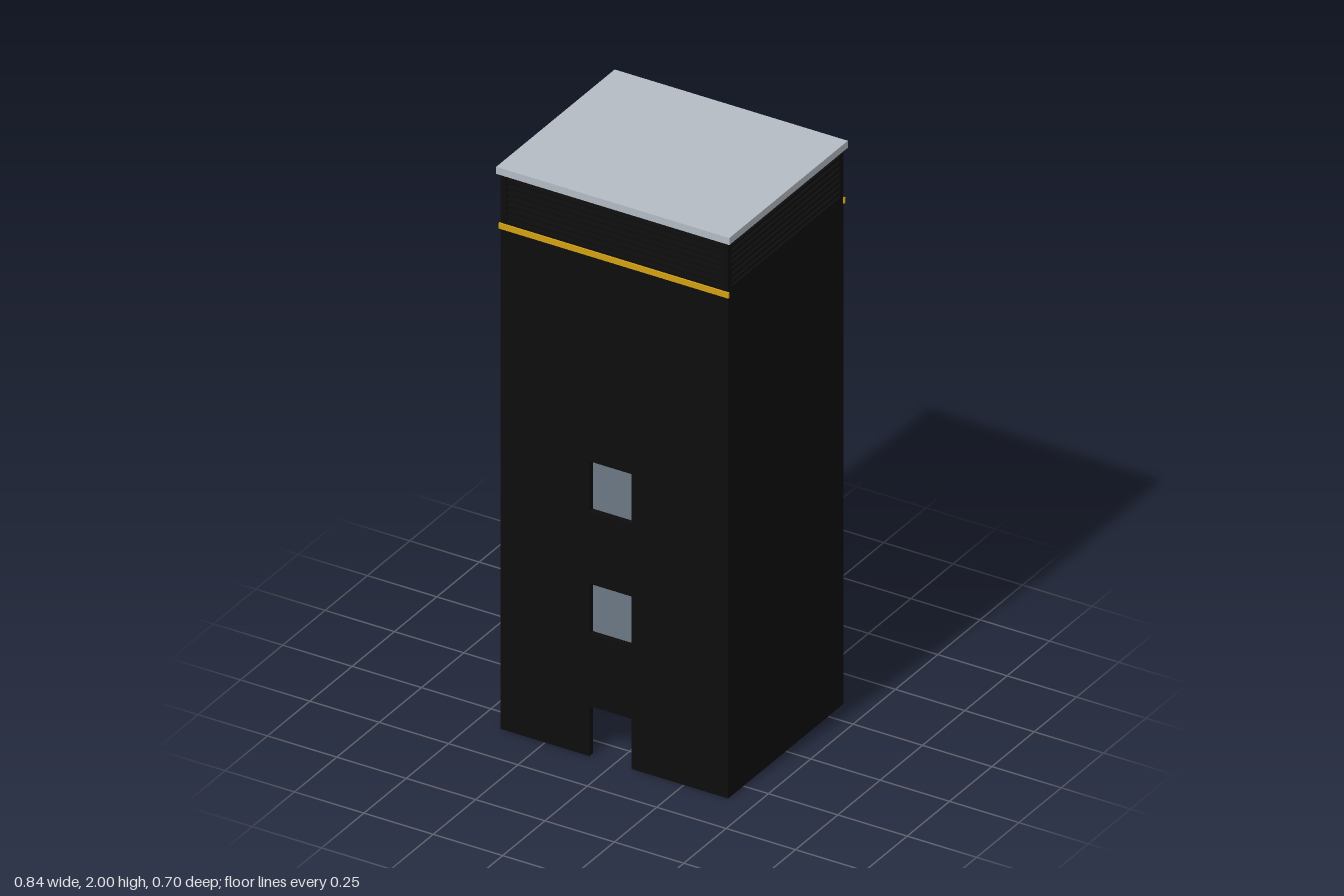
import * as THREE from 'three';

const material = (name, color) => {
  const m = new THREE.MeshStandardMaterial({ color });
  m.name = name;
  return m;
};

export function createModel() {
  const black = material('black cladding', 0x0d0d0d);
  const yellow = material('yellow stripe', 0xd2a013);
  const grey = material('light grey roof', 0xb4bbc3);
  const slate = material('slate floor', 0x606c76);

  const W = 0.82, D = 0.68, T = 0.02; // tower width, depth and wall thickness
  const WALL = 1.81, EAVES = 1.975;   // top of the walls, underside of the roof
  const STOREY = 0.435, DOOR_H = 0.178, DOOR_L = -0.09, DOOR_R = 0.062;

  const model = new THREE.Group();
  model.name = 'tower';
  const add = (name, geometry, mat, x, y, z) => {
    const mesh = new THREE.Mesh(geometry, mat);
    mesh.name = name;
    mesh.position.set(x, y, z);
    model.add(mesh);
  };
  const box = (name, mat, w, h, d, x, y, z) =>
    add(name, new THREE.BoxGeometry(w, h, d), mat, x, y, z);

  // Front wall: a doorway at the ground and one opening on each floor above
  const front = new THREE.Shape([
    [-W / 2, 0], [DOOR_L, 0], [DOOR_L, DOOR_H], [DOOR_R, DOOR_H], [DOOR_R, 0],
    [W / 2, 0], [W / 2, WALL], [-W / 2, WALL],
  ].map(([x, y]) => new THREE.Vector2(x, y)));
  for (const y of [STOREY, 2 * STOREY]) {
    front.holes.push(new THREE.Path([
      [DOOR_L, y], [DOOR_L, y + DOOR_H], [DOOR_R, y + DOOR_H], [DOOR_R, y],
    ].map(([px, py]) => new THREE.Vector2(px, py))));
  }
  add('frontWall', new THREE.ExtrudeGeometry(front, { depth: T, bevelEnabled: false }),
    black, 0, 0, D / 2 - T);

  // Back and side walls, open at the bottom
  box('backWall', black, W, WALL, T, 0, WALL / 2, -D / 2 + T / 2);
  for (const s of [-1, 1]) {
    box('sideWall', black, T, WALL, D - 2 * T, s * (W - T) / 2, WALL / 2, 0);
  }

  // Floors level with the openings, and the deck under the louvres
  for (const y of [STOREY, 2 * STOREY]) {
    box('floor', slate, W - 2 * T, T, D - 2 * T, 0, y - T / 2, 0);
  }
  box('deck', black, W - 2 * T, T, D - 2 * T, 0, WALL - T / 2, 0);

  // Corner posts of the louvred top
  for (const sx of [-1, 1]) for (const sz of [-1, 1]) {
    box('cornerPost', black, T, EAVES - WALL, T,
      sx * (W - T) / 2, (EAVES + WALL) / 2, sz * (D - T) / 2);
  }

  // Horizontal louvre slats on all four sides
  for (let i = 0; i < 7; i++) {
    const y = 1.824 + i * 0.021;
    for (const s of [-1, 1]) {
      box('louvreSlat', black, W - 2 * T, 0.009, T, 0, y, s * (D - T) / 2);
      box('louvreSlat', black, T, 0.009, D - 2 * T, s * (W - T) / 2, y, 0);
    }
  }

  // Stripes across the front and back
  for (const s of [-1, 1]) {
    box('stripe', yellow, W + 0.008, 0.02, 0.006, 0, 1.79, s * (D / 2 + 0.002));
  }

  // Overhanging flat roof
  box('roof', grey, 0.84, 2 - EAVES, 0.7, 0, (2 + EAVES) / 2, 0);

  return model;
}
